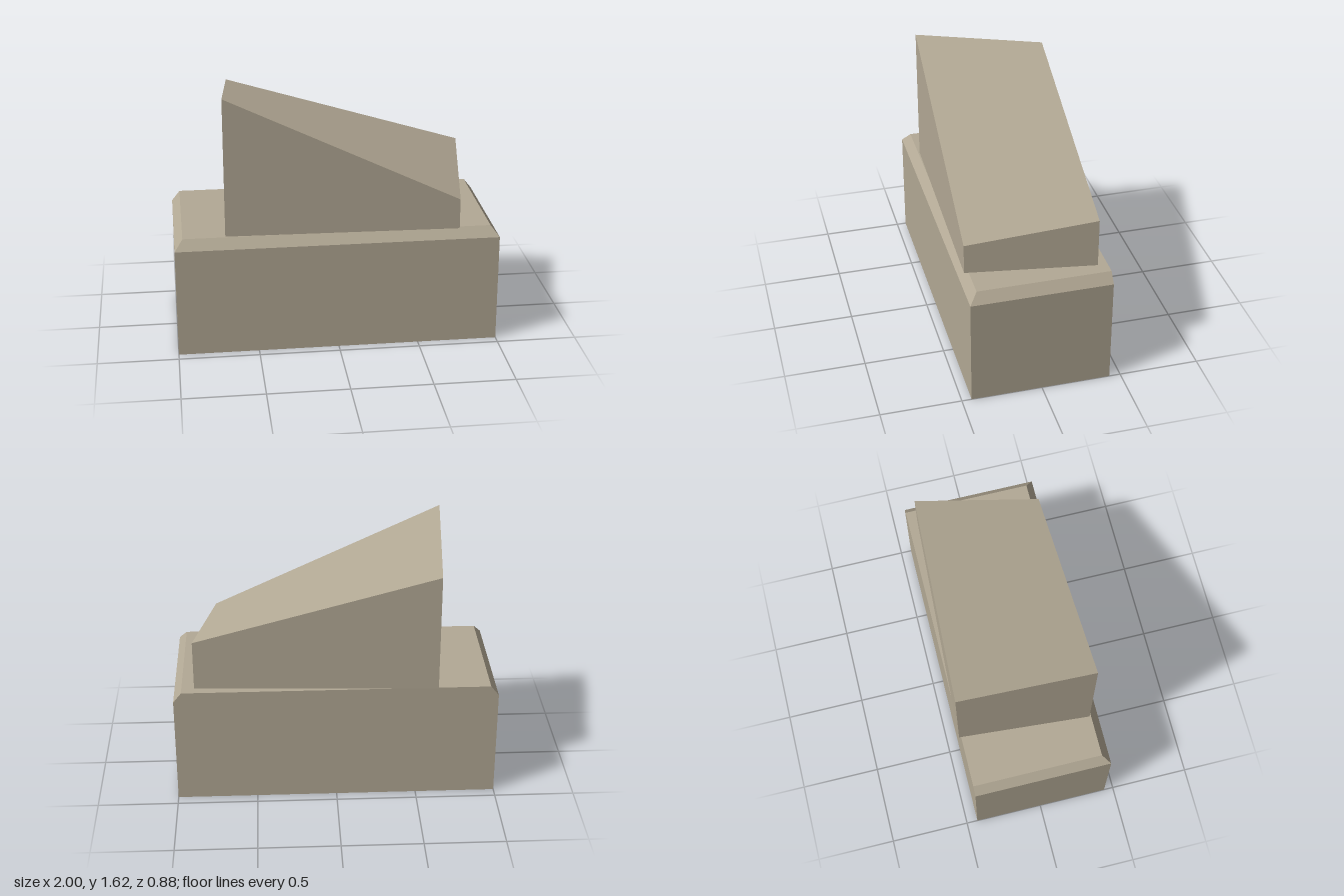
import * as THREE from 'three';

// Closed block lofted through four-cornered rings, listed bottom to top.
// Corners run front right, front left, back left, back right.
// Each quad gets one flat normal, even where it is slightly folded.
function loftBlock(rings) {
  const positions = [];
  const normals = [];
  const addQuad = (a, b, c, d) => {
    const n = new THREE.Vector3().crossVectors(
      new THREE.Vector3().subVectors(c, a),
      new THREE.Vector3().subVectors(d, b)
    ).normalize();
    for (const p of [a, b, c, a, c, d]) {
      positions.push(p.x, p.y, p.z);
      normals.push(n.x, n.y, n.z);
    }
  };
  const loops = rings.map(r => r.map(p => new THREE.Vector3(...p)));
  for (let k = 0; k < loops.length - 1; k++) {
    const lo = loops[k], hi = loops[k + 1];
    for (let i = 0; i < 4; i++) {
      const j = (i + 1) % 4;
      addQuad(lo[i], lo[j], hi[j], hi[i]);
    }
  }
  const bottom = loops[0], top = loops[loops.length - 1];
  addQuad(bottom[0], bottom[3], bottom[2], bottom[1]);
  addQuad(...top);
  const geometry = new THREE.BufferGeometry();
  geometry.setAttribute('position', new THREE.Float32BufferAttribute(positions, 3));
  geometry.setAttribute('normal', new THREE.Float32BufferAttribute(normals, 3));
  return geometry;
}

// Rectangular ring at height y
const rectRing = (x, y, front, back) =>
  [[-x, y, front], [x, y, front], [x, y, back], [-x, y, back]];

export function createModel() {
  const model = new THREE.Group();
  model.name = 'stoneBlocks';
  const stone = new THREE.MeshStandardMaterial({ color: 0xb3a995 });
  stone.name = 'warm grey stone';

  const addPart = (name, rings) => {
    const mesh = new THREE.Mesh(loftBlock(rings), stone);
    mesh.name = name;
    model.add(mesh);
  };

  // Plinth: top edge chamfered on the front and both ends, flush at the back
  addPart('plinth', [
    rectRing(1, 0, 0.44, -0.43),
    rectRing(1, 0.69, 0.44, -0.43),
    rectRing(0.95, 0.753, 0.39, -0.43),
  ]);

  // Skewed block on top: plan corners with the height of each
  const corners = [
    [-0.69, 1.625, 0.38],
    [0.75, 0.943, 0.417],
    [0.872, 1.065, -0.37],
    [-0.625, 1.5, -0.443],
  ];
  addPart('slantedBlock', [
    corners.map(([x, , z]) => [x, 0.753, z]),
    corners,
  ]);

  return model;
}
